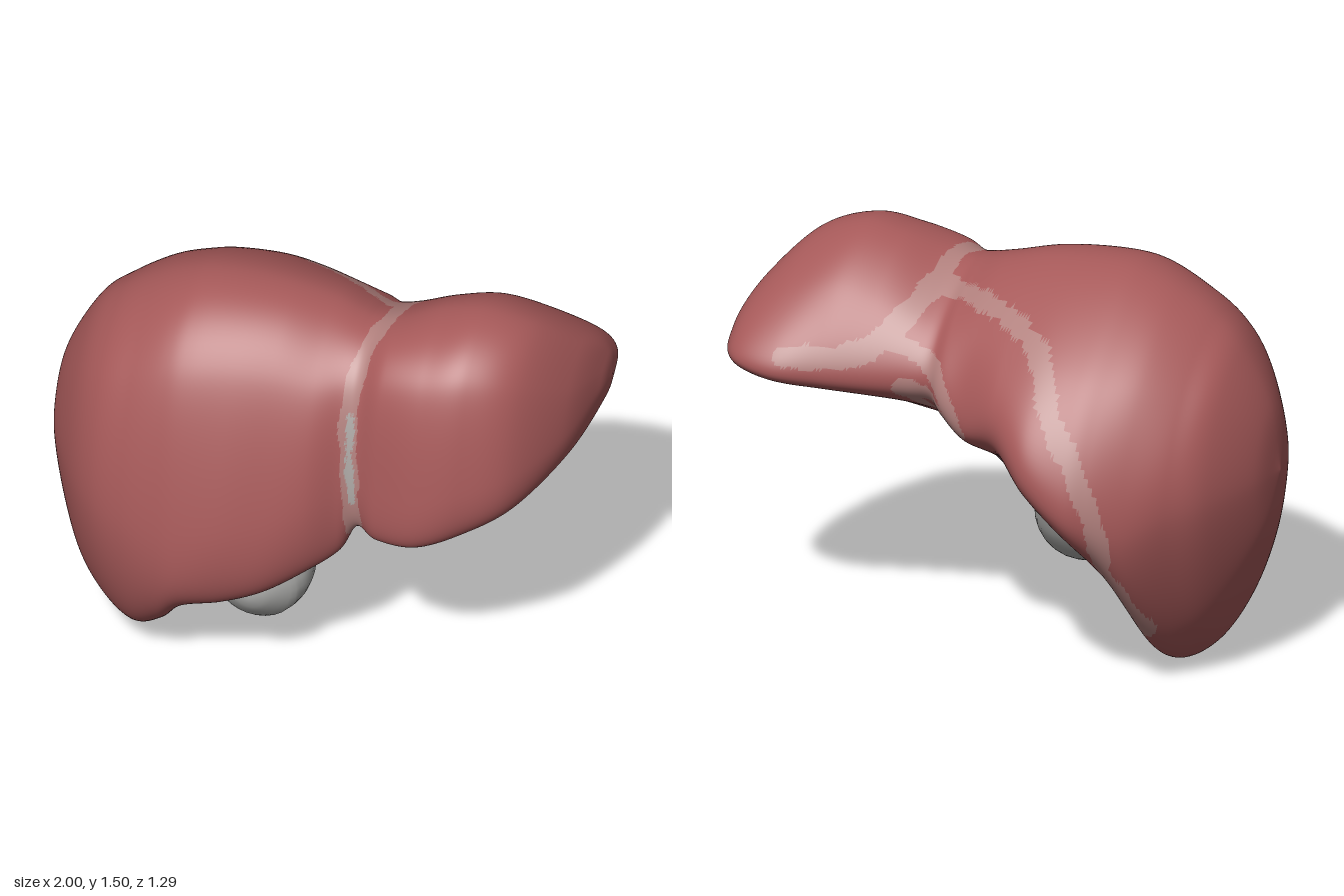
import * as THREE from 'three';
import { mergeVertices } from 'three/addons/utils/BufferGeometryUtils.js';

const V = (x, y, z) => new THREE.Vector3(x, y, z);
const mat = (name, color, side = THREE.FrontSide) => {
  const m = new THREE.MeshStandardMaterial({ color, side });
  m.name = name;
  return m;
};

// Cross-sections: x, then (z, y) of top, top-front, front, lower-front, bottom, lower-back, back, top-back
const RIGHT_LOBE = [
  [-0.965, .05, 1.01, .16, .94, .22, .77, .16, .58, .05, .52, -.06, .58, -.13, .77, -.07, .94],
  [-0.86, .05, 1.225, .305, 1.08, .41, .72, .305, .35, .06, .235, -.18, .38, -.345, .75, -.22, 1.08],
  [-0.75, .06, 1.335, .39, 1.16, .525, .68, .395, .23, .07, .065, -.24, .25, -.455, .73, -.3, 1.13],
  [-0.62, .06, 1.415, .425, 1.22, .59, .64, .46, .165, .08, .004, -.29, .195, -.555, .66, -.37, 1.17],
  [-0.5, .06, 1.465, .44, 1.27, .622, .62, .51, .22, .12, .125, -.28, .35, -.615, .7, -.41, 1.19],
  [-0.4, .06, 1.488, .44, 1.29, .635, .64, .55, .32, .15, .31, -.25, .48, -.64, .74, -.43, 1.2],
];
const MIDDLE = [
  [-0.25, .06, 1.49, .42, 1.3, .62, .68, .54, .36, .2, .47, -.14, .6, -.615, .84, -.42, 1.22],
  [-0.1, .07, 1.478, .4, 1.29, .58, .72, .52, .42, .2, .54, -.08, .67, -.505, .95, -.35, 1.25],
  [0.05, .07, 1.445, .38, 1.27, .525, .8, .47, .51, .2, .64, -.11, .78, -.43, .94, -.29, 1.25],
  [0.155, .09, 1.415, .35, 1.275, .46, .85, .42, .585, .2, .69, -.09, .825, -.375, 1, -.25, 1.25],
  [0.215, .1, 1.408, .345, 1.285, .44, .9, .4, .69, .2, .75, -.09, .86, -.33, 1.04, -.22, 1.25],
];
const LEFT_LOBE = [
  [0.3, .11, 1.43, .37, 1.32, .47, .9, .45, .68, .25, .72, -.1, .88, -.335, 1.04, -.22, 1.27],
  [0.45, .08, 1.48, .38, 1.35, .5, .9, .47, .69, .25, .75, -.1, .9, -.36, 1.04, -.22, 1.32],
  [0.61, .08, 1.505, .36, 1.37, .475, .95, .43, .75, .22, .8, -.12, .93, -.4, 1.05, -.22, 1.36],
  [0.78, .04, 1.45, .28, 1.33, .385, 1, .34, .84, .15, .87, -.15, .96, -.44, 1.06, -.25, 1.31],
  [0.92, -.08, 1.31, .1, 1.22, .17, 1.05, .12, .95, 0, .94, -.2, .99, -.41, 1.08, -.28, 1.23],
  [0.985, -.2, 1.19, -.11, 1.16, -.07, 1.1, -.11, 1.04, -.18, 1.02, -.26, 1.05, -.33, 1.1, -.27, 1.16],
];
const tip = (x, z, y) => [x, ...Array(8).fill([z, y]).flat()];

// Smooth skin through the cross-sections, as a grid of points
function skin(rings, sides) {
  const sections = [tip(-1, .05, .77), ...RIGHT_LOBE, ...MIDDLE, ...LEFT_LOBE, tip(1, -.2, 1.1)];
  const rails = Array.from({ length: 8 }, (_, k) => new THREE.CatmullRomCurve3(
    sections.map(s => V(s[0], s[2 + 2 * k], s[1 + 2 * k])), false, 'catmullrom', 0.5));
  const points = [];
  for (let i = 0; i <= rings; i++) {
    const loop = new THREE.CatmullRomCurve3(rails.map(r => r.getPoint(i / rings)), true, 'catmullrom', 0.5);
    for (let j = 0; j < sides; j++) points.push(loop.getPoint(j / sides));
  }
  return points;
}

// Ligament lines lying on the skin: half width, then points
const LIGAMENTS = [
  [.032, [.21, .7, .42], [.2, .9, .44], [.18, 1.18, .37], [.22, 1.36, .24], [.26, 1.42, .08], [.27, 1.38, -.06]],
  [.036, [.27, 1.38, -.06], [.1, 1.37, -.15], [-.2, 1.29, -.35], [-.33, 1.1, -.53], [-.44, .92, -.58],
    [-.53, .68, -.57], [-.55, .47, -.46]],
  [.058, [-.55, .47, -.46], [-.57, .36, -.4], [-.61, .25, -.32]],
  [.048, [-.61, .25, -.31], [-.5, .41, -.35], [-.35, .54, -.29], [-.17, .7, -.23]],
  [.042, [-.17, .7, -.23], [-.06, .8, -.27], [.08, .92, -.34], [.3, 1.03, -.36]],
  [.042, [.27, 1.38, -.06], [.33, 1.28, -.2], [.42, 1.18, -.29], [.55, 1.13, -.36], [.74, 1.12, -.41]],
  [.034, [.4, 1.2, -.27], [.2, 1.13, -.31], [.1, 1, -.4], [.06, .93, -.42]],
  [.026, [.2, .69, .42], [.155, .69, .22], [.15, .78, 0], [.16, .86, -.12], [.25, .96, -.24], [.3, 1.03, -.34]],
];
const PALE_LINE = [[.014, [.19, 1.16, .38], [.19, 1, .43], [.205, .83, .44]]];

function traceOnSkin(lines, points) {
  const traced = [];
  for (const [width, ...pts] of lines) {
    const curve = new THREE.CatmullRomCurve3(pts.map(p => V(...p)));
    const n = Math.ceil(curve.getLength() / .015);
    for (let i = 0; i <= n; i++) {
      const p = curve.getPointAt(i / n);
      let best = points[0], d = Infinity;
      for (const q of points) {
        const e = p.distanceToSquared(q);
        if (e < d) { d = e; best = q; }
      }
      // slightly uneven edge
      traced.push([best, width * (1 + .12 * Math.sin(i * .5))]);
    }
  }
  return traced;
}

function makeLiver(materials) {
  const rings = 250, sides = 150;
  const points = skin(rings, sides);
  const ligament = traceOnSkin(LIGAMENTS, points), pale = traceOnSkin(PALE_LINE, points);
  const near = (c, trace) => trace.some(([p, w]) => p.distanceToSquared(c) < w * w);
  const faces = [[], [], []];
  const addFace = (...ids) => {
    const mid = V(0, 0, 0);
    ids.forEach(id => mid.addScaledVector(points[id], 1 / 3));
    faces[near(mid, pale) ? 2 : near(mid, ligament) ? 1 : 0].push(...ids);
  };
  for (let i = 0; i < rings; i++) for (let j = 0; j < sides; j++) {
    const a = i * sides + j, b = i * sides + (j + 1) % sides, c = a + sides, d = b + sides;
    addFace(a, b, c);
    addFace(b, d, c);
  }
  const geo = new THREE.BufferGeometry().setFromPoints(points);
  geo.setIndex(faces.flat());
  let start = 0;
  faces.forEach((f, k) => { geo.addGroup(start, f.length, k); start += f.length; });
  geo.computeVertexNormals();
  return new THREE.Mesh(geo, materials);
}

// Tube whose radius follows a list of values along its path
function taperedTube(path, radii, roundStart = false) {
  const curve = new THREE.CatmullRomCurve3(path.map(p => V(...p)));
  const segs = 48, sides = 28;
  const profile = new THREE.CatmullRomCurve3(radii.map((r, i) => V(i, r, 0)), false, 'catmullrom', 0.5);
  let geo = new THREE.TubeGeometry(curve, segs, 1, sides);
  const pos = geo.attributes.position, v = V(0, 0, 0);
  for (let i = 0; i <= segs; i++) {
    const u = i / segs, c = curve.getPointAt(u);
    const r = profile.getPoint(u).y * (roundStart ? Math.min(1, Math.sqrt(u / .12)) : 1);
    for (let j = 0; j <= sides; j++) {
      const k = i * (sides + 1) + j;
      v.fromBufferAttribute(pos, k).sub(c).multiplyScalar(r).add(c);
      pos.setXYZ(k, v.x, v.y, v.z);
    }
  }
  geo.deleteAttribute('normal');
  geo.deleteAttribute('uv');
  geo = mergeVertices(geo, 1e-5);
  geo.computeVertexNormals();
  return geo;
}

export function createModel() {
  const group = new THREE.Group();
  const liverRed = mat('liver red', 0xa65959), ligamentPink = mat('ligament pink', 0xb07f7c);
  const paleGrey = mat('pale grey', 0xaaa5a2), bladderGrey = mat('gallbladder grey', 0xa9a9a7, THREE.DoubleSide);
  const veinPurple = mat('vein purple', 0x8d6270, THREE.DoubleSide);
  const arteryPink = mat('artery pink', 0xb0706a, THREE.DoubleSide);
  const add = (name, mesh) => { mesh.name = name; group.add(mesh); return mesh; };
  const blob = (name, material, position, scale) => {
    const mesh = add(name, new THREE.Mesh(new THREE.SphereGeometry(1, 32, 20), material));
    mesh.position.set(...position);
    mesh.scale.set(...scale);
  };

  add('liver', makeLiver([liverRed, ligamentPink, paleGrey]));

  // Gallbladder narrowing into its duct, with a short branch
  add('gallbladder', new THREE.Mesh(taperedTube(
    [[-.16, .37, .512], [-.157, .385, .35], [-.14, .455, .21], [-.12, .56, .09], [-.1, .63, 0], [-.07, .69, -.045], [-.03, .77, -.045]],
    [.12, .145, .178, .182, .16, .12, .077, .05, .044, .04, .034], true), bladderGrey));
  add('bileDuct', new THREE.Mesh(taperedTube(
    [[-.09, .65, -.01], [-.12, .63, -.045], [-.16, .59, -.07]], [.034, .03, .018]), bladderGrey));

  // Vessels at the gateway on the underside
  add('portalVein', new THREE.Mesh(taperedTube(
    [[.09, .87, -.04], [.04, .81, -.085], [-.04, .745, -.105], [-.11, .7, -.11], [-.18, .69, -.11]],
    [.035, .05, .05, .045, .04]), veinPurple));
  blob('portalVeinBranch', veinPurple, [-.25, .585, -.11], [.045, .05, .045]);
  const mouth = add('portalVeinMouth', new THREE.Mesh(new THREE.TorusGeometry(.034, .015, 10, 24), veinPurple));
  mouth.position.set(-.225, .575, -.115);
  mouth.lookAt(1, .3, -.8);
  add('hepaticArtery', new THREE.Mesh(taperedTube(
    [[-.06, .71, -.06], [-.1, .67, -.08], [-.15, .61, -.06], [-.22, .55, -.03]],
    [.022, .028, .026, .03]), arteryPink));
  blob('hilumTissue', ligamentPink, [-.26, .58, -.05], [.08, .1, .11]);
  return group;
}
